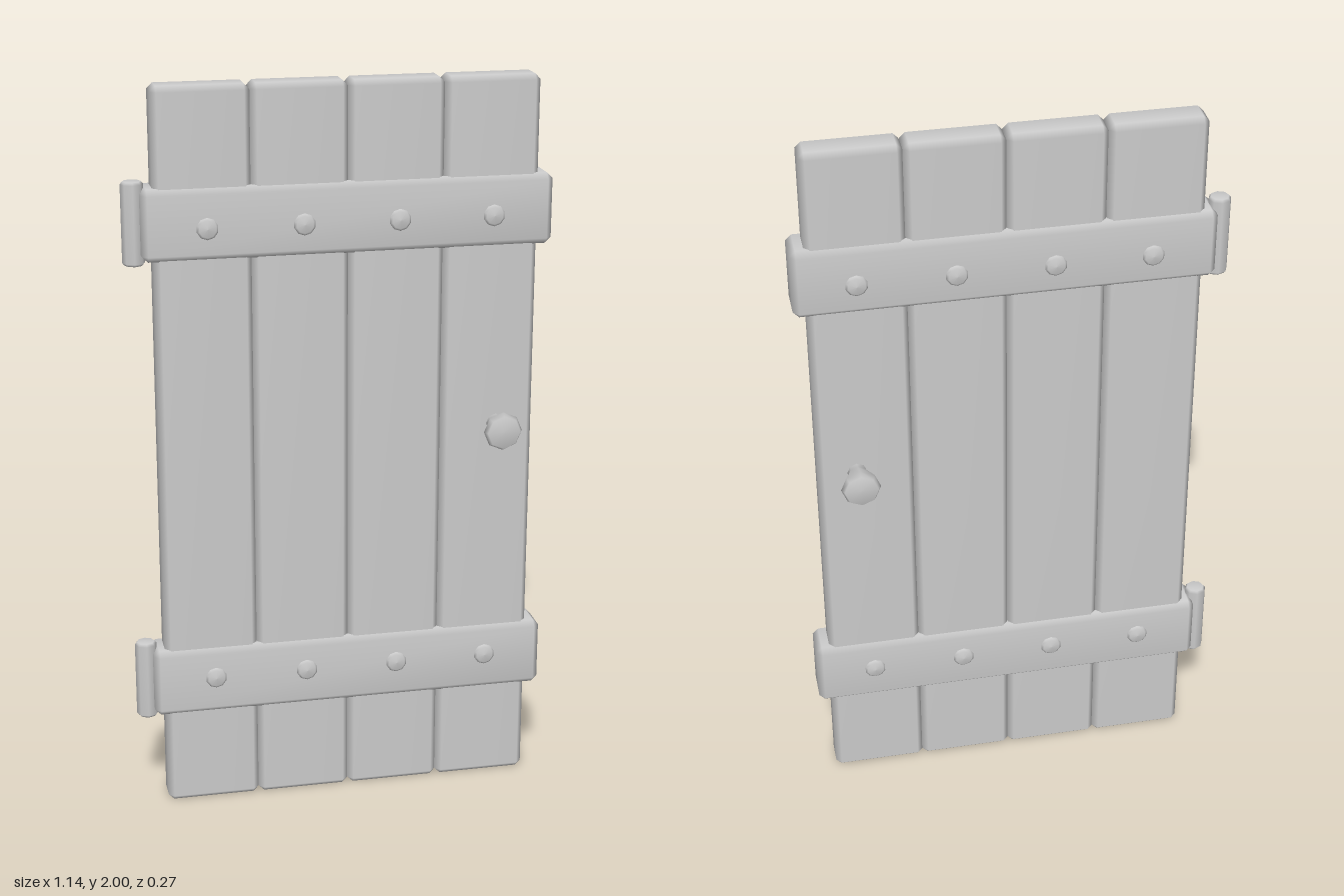
import * as THREE from 'three';
import { ConvexGeometry } from 'three/addons/geometries/ConvexGeometry.js';
import { mergeVertices } from 'three/addons/utils/BufferGeometryUtils.js';

const material = new THREE.MeshStandardMaterial({ color: 0xcccccc });

// Box with chamfered edges and smooth shared normals
function chamferBox(w, h, d, b) {
  const half = [w / 2, h / 2, d / 2];
  const points = [];
  for (let axis = 0; axis < 3; axis++)
    for (const sx of [-1, 1]) for (const sy of [-1, 1]) for (const sz of [-1, 1]) {
      const s = [sx, sy, sz];
      points.push(new THREE.Vector3(...half.map((v, i) => s[i] * (i === axis ? v : v - b))));
    }
  let geometry = new ConvexGeometry(points);
  geometry.deleteAttribute('normal');
  geometry = mergeVertices(geometry, 1e-4);
  geometry.computeVertexNormals();
  return geometry;
}

const lathe = (profile, sides) =>
  new THREE.LatheGeometry(profile.map(([r, y]) => new THREE.Vector2(r, y)), sides);

export function createModel() {
  const door = new THREE.Group();
  door.name = 'plankDoor';

  function add(name, geometry, x, y, z, rx = 0) {
    const mesh = new THREE.Mesh(geometry, material);
    mesh.name = name;
    mesh.position.set(x, y, z);
    mesh.rotation.x = rx;
    door.add(mesh);
  }

  // Four upright planks
  const plank = chamferBox(0.255, 2, 0.09, 0.015);
  for (let i = 0; i < 4; i++) add('plank', plank, -0.364 + i * 0.256, 1, 0);

  const strap = chamferBox(1.093, 0.19, 0.118, 0.016);
  const hingePin = lathe([[0, -0.11], [0.024, -0.11], [0.03, -0.103], [0.03, 0.103], [0.024, 0.11], [0, 0.11]], 8);
  const rivet = lathe([[0.029, 0.05], [0.029, 0.062], [0.023, 0.067], [0, 0.07]], 10);

  // Two straps, each with a hinge pin and rivets on both faces
  for (const [strapY, rivetY] of [[1.645, 1.635], [0.365, 0.375]]) {
    add('strap', strap, 0.0225, strapY, 0);
    add('hingePin', hingePin, -0.54, strapY, 0);
    for (let i = 0; i < 4; i++)
      for (const side of [1, -1])
        add('rivet', rivet, -0.355 + i * 0.254, rivetY, 0, side * Math.PI / 2);
  }

  // Flared knob on each face
  const knob = lathe([[0.026, 0.03], [0.026, 0.06], [0.053, 0.12], [0.045, 0.135], [0, 0.136]], 8);
  for (const side of [1, -1]) add('knob', knob, 0.428, 1.055, 0, side * Math.PI / 2);

  return door;
}
